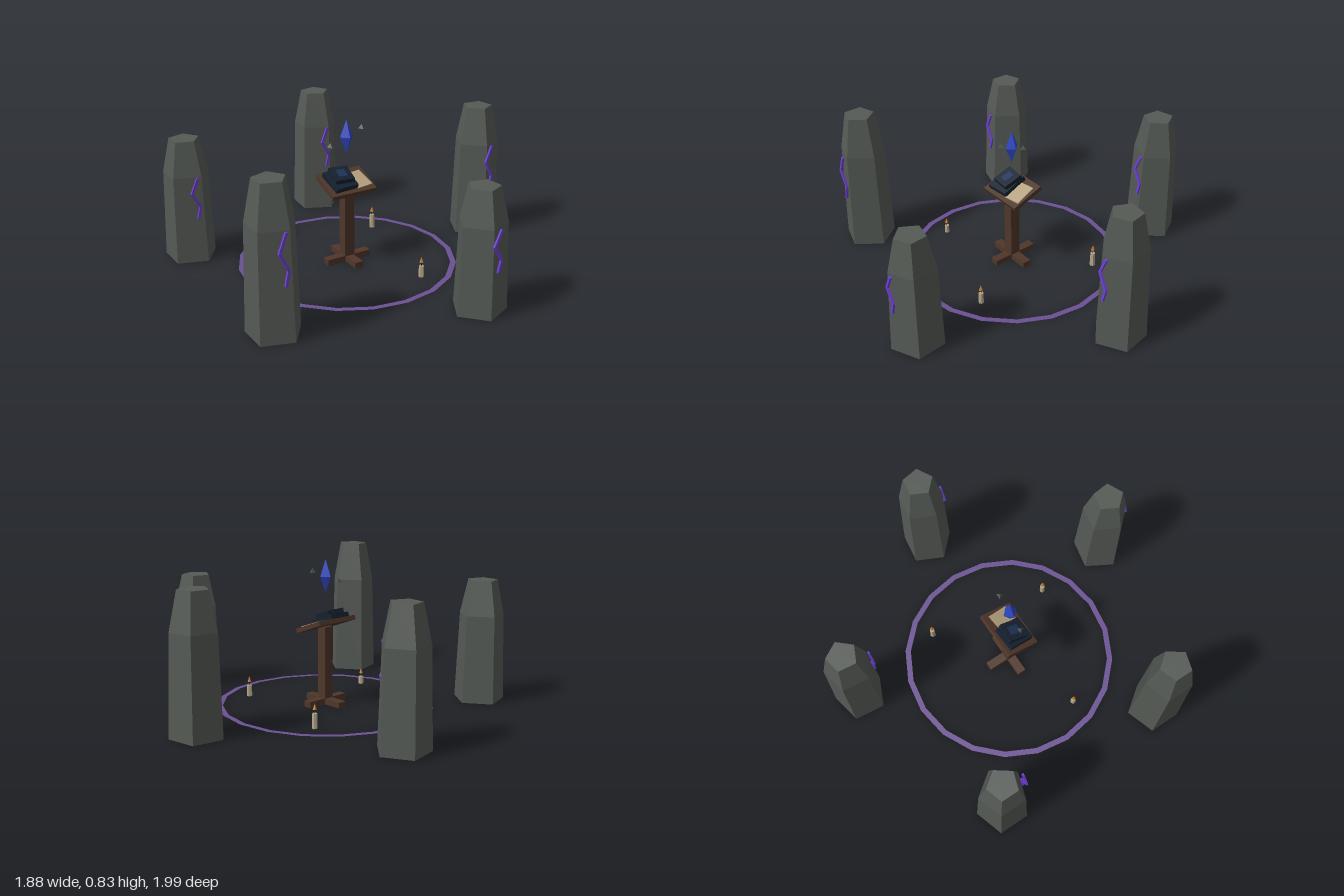
import * as THREE from 'three';

const mat = (name, color, side = THREE.FrontSide) =>
  new THREE.MeshStandardMaterial({ name, color, side, flatShading: true });

export function createModel() {
  const stone = mat('stone', 0x555a55);
  const rune = mat('rune violet', 0x7040d8);
  const circle = mat('circle purple', 0x6a5093, THREE.DoubleSide);
  const wood = mat('wood', 0x4f3629);
  const cover = mat('book navy', 0x16202f);
  const trim = mat('book trim blue', 0x1e3358);
  const paper = mat('parchment', 0xb5a27f);
  const blue = mat('crystal blue', 0x3048c8);
  const wax = mat('wax', 0xb8a88a);
  const fire = mat('flame', 0xc07a30);

  const model = new THREE.Group();
  model.name = 'ritualCircle';
  model.position.x = -0.09;

  const add = (parent, name, geometry, material, x = 0, y = 0, z = 0) => {
    const mesh = new THREE.Mesh(geometry, material);
    mesh.name = name;
    mesh.position.set(x, y, z);
    parent.add(mesh);
    return mesh;
  };
  const box = (w, h, d) => new THREE.BoxGeometry(w, h, d);
  const group = (parent, name, x = 0, y = 0, z = 0) => {
    const g = new THREE.Group();
    g.name = name;
    g.position.set(x, y, z);
    parent.add(g);
    return g;
  };

  // Circle drawn on the ground
  const ring = add(model, 'groundCircle', new THREE.RingGeometry(0.585, 0.617, 20), circle, 0, 0.003, 0);
  ring.rotation.x = -Math.PI / 2;

  // Five standing stones: height and turn in degrees
  const zigzag = [[0.012, 0.168], [-0.026, 0.045], [0.02, -0.07], [0.004, -0.165]];
  const stones = [[0.77, 64], [0.677, 60], [0.812, 90], [0.7, 90], [0.745, 84]];
  stones.forEach(([h, turn], i) => {
    const a = i * Math.PI * 2 / 5;
    const g = group(model, 'standingStone' + (i + 1), 0.897 * Math.cos(a), 0, 0.897 * Math.sin(a) - 0.004);
    const profile = [[0, 0], [0.148, 0], [0.13, h * 0.72], [0.086, h], [0, h]]
      .map(([r, y]) => new THREE.Vector2(r, y));
    add(g, 'stoneBody', new THREE.LatheGeometry(profile, 5), stone).rotation.y = turn * Math.PI / 180;
    // Zigzag rune on the front of the stone
    for (let k = 0; k < 3; k++) {
      const [x0, y0] = zigzag[k], [x1, y1] = zigzag[k + 1];
      const dx = x1 - x0, dy = (y1 - y0) * h;
      const bar = add(g, 'runeStroke', box(0.014, Math.hypot(dx, dy) + 0.006, 0.012), rune,
        (x0 + x1) / 2, h * (0.55 + (y0 + y1) / 2), 0.136);
      bar.rotation.z = Math.atan2(-dx, dy);
    }
  });

  // Lectern: crossed feet, post and tilted top
  const lectern = group(model, 'lectern');
  add(lectern, 'footAcross', box(0.275, 0.035, 0.05), wood, 0, 0.0175, 0);
  add(lectern, 'footAlong', box(0.05, 0.034, 0.275), wood, 0, 0.0175, -0.005);
  add(lectern, 'post', box(0.06, 0.42, 0.06), wood, 0, 0.24, 0);
  const desk = group(lectern, 'desk', 0, 0.463, -0.005);
  desk.rotation.x = 0.36;
  add(desk, 'deskTop', box(0.278, 0.025, 0.2), wood);

  // Stacked books and a parchment lying on the desk
  const books = group(desk, 'books', -0.042, 0.0125, -0.003);
  add(books, 'lowerBook', box(0.14, 0.028, 0.155), cover, 0, 0.014, 0).rotation.y = 0.06;
  const upper = group(books, 'upperBook', 0.008, 0.028, -0.012);
  upper.rotation.y = -0.08;
  add(upper, 'upperCover', box(0.112, 0.026, 0.115), cover, 0, 0.013, 0);
  add(upper, 'coverPlate', box(0.05, 0.004, 0.06), trim, 0, 0.027, 0);
  add(desk, 'parchment', box(0.1, 0.004, 0.13), paper, 0.072, 0.0145, 0.005).rotation.y = 0.12;

  // Floating crystal with two stone shards
  const crystal = add(model, 'crystal', new THREE.OctahedronGeometry(1), blue, 0, 0.735, 0);
  crystal.scale.set(0.04, 0.096, 0.04);
  for (const [x, y] of [[-0.1, 0.702], [0.097, 0.777]])
    add(model, 'shard', new THREE.ConeGeometry(0.02, 0.026, 3), stone, x, y, 0);

  // Candles: position and wax height
  for (const [x, z, h] of [[-0.445, 0.155, 0.045], [0.233, 0.402, 0.065], [0.36, -0.307, 0.083]]) {
    const candle = group(model, 'candle', x, 0, z);
    add(candle, 'waxStick', new THREE.CylinderGeometry(0.014, 0.016, h, 6), wax, 0, h / 2, 0);
    add(candle, 'wick', new THREE.CylinderGeometry(0.002, 0.002, 0.024, 4), cover, 0, h + 0.011, 0);
    add(candle, 'flame', new THREE.ConeGeometry(0.012, 0.033, 5), fire, 0, h + 0.037, 0);
  }
  return model;
}
